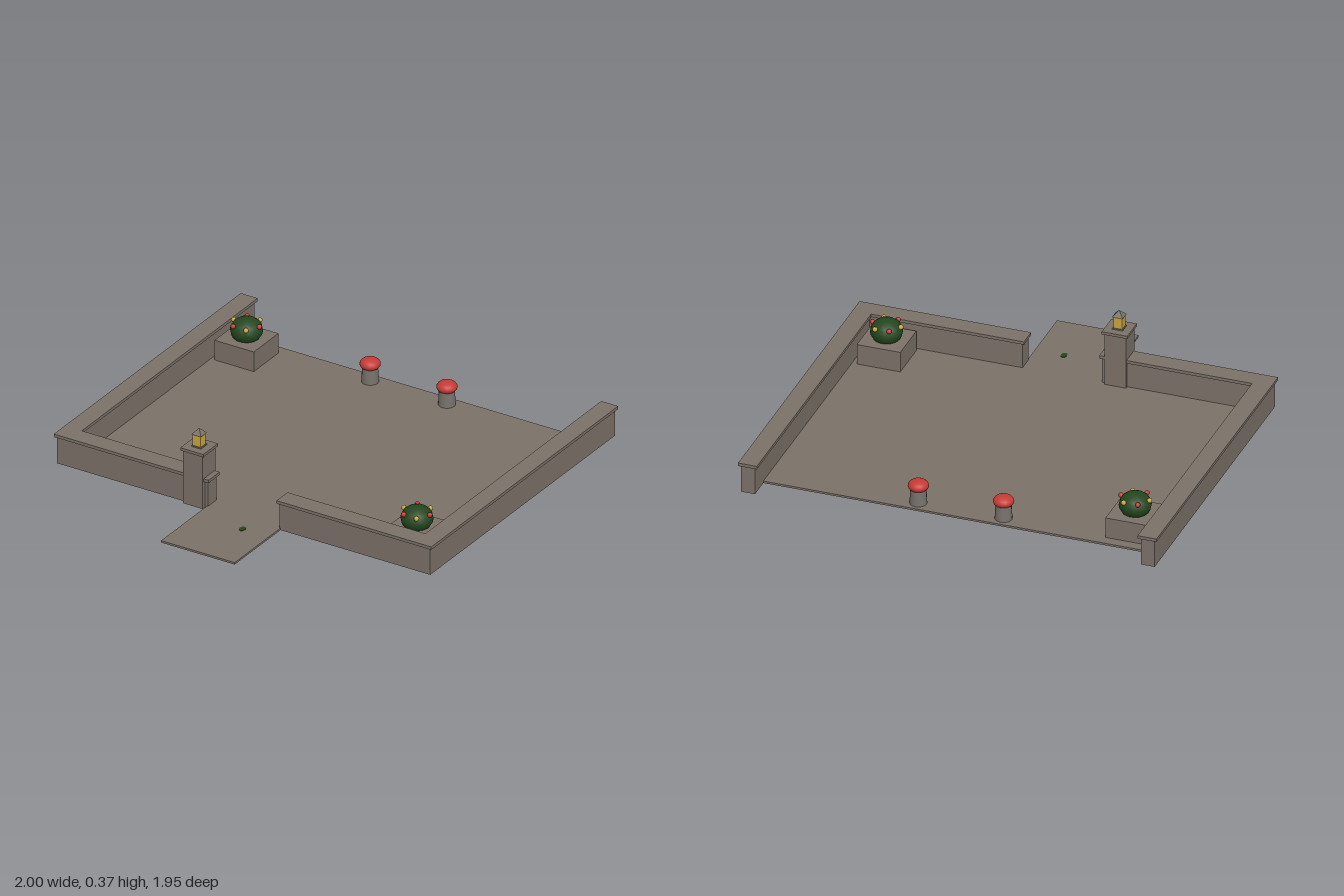
import * as THREE from 'three';

const mat = (name, color) => {
  const m = new THREE.MeshStandardMaterial({ color });
  m.name = name;
  return m;
};

export function createModel() {
  const stone = mat('warm stone', 0x7b7168);
  const grey = mat('grey stone', 0x77726c);
  const leaf = mat('leaf green', 0x24461f);
  const red = mat('red', 0xc63a35);
  const gold = mat('lantern gold', 0xc9a53f);

  const model = new THREE.Group();
  model.name = 'walledCourtyard';

  const add = (name, geo, material, x, y, z, parent = model) => {
    const mesh = new THREE.Mesh(geo, material);
    mesh.name = name;
    mesh.position.set(x, y, z);
    parent.add(mesh);
    return mesh;
  };
  // Box standing on height y
  const block = (name, w, h, d, x, y, z, material = stone) =>
    add(name, new THREE.BoxGeometry(w, h, d), material, x, y + h / 2, z);

  // Ground slab and entrance path
  block('floor', 1.97, 0.01, 1.445, 0, 0, -0.1375);
  block('path', 0.39, 0.01, 0.385, 0, 0, 0.7775);

  // L-shaped wall: one side plus half of the front, extruded upwards
  const wall = (name, side, outer, inner, end, back, front, frontIn, y, h) => {
    const points = [[outer, back], [outer, front], [end, front], [end, frontIn], [inner, frontIn], [inner, back]];
    const shape = new THREE.Shape(points.map(([x, z]) => new THREE.Vector2(side * x, z)));
    const geo = new THREE.ExtrudeGeometry(shape, { depth: h, bevelEnabled: false });
    geo.rotateX(Math.PI / 2);
    add(name, geo, stone, 0, y + h, 0);
  };
  for (const side of [-1, 1]) {
    const label = side > 0 ? 'left' : 'right';
    wall(label + 'Wall', side, 0.988, 0.922, 0.19, -0.968, 0.585, 0.512, 0, 0.135);
    wall(label + 'WallCoping', side, 1, 0.91, 0.18, -0.977, 0.595, 0.502, 0.135, 0.015);
  }

  // Gate pillar with lantern
  const px = -0.258, pz = 0.55;
  block('gatePillar', 0.104, 0.27, 0.106, px, 0, pz);
  block('pillarCap', 0.122, 0.014, 0.124, px, 0.27, pz);
  block('lanternBase', 0.05, 0.006, 0.05, px, 0.284, pz, grey);
  block('lanternGlass', 0.042, 0.056, 0.042, px, 0.29, pz, gold);
  const roof = new THREE.ConeGeometry(0.036, 0.028, 4).toNonIndexed();
  roof.rotateY(Math.PI / 4);
  roof.computeVertexNormals();
  add('lanternRoof', roof, grey, px, 0.36, pz);

  // Planters, each with a round bush ringed by flowers
  const flowerGeo = new THREE.SphereGeometry(0.012, 10, 8);
  for (const [x, z] of [[-0.798, -0.705], [0.795, 0.39]]) {
    block('planter', 0.208, 0.1, 0.208, x, 0.01, z);
    const bush = new THREE.Group();
    bush.name = 'floweringBush';
    bush.position.set(x, 0.147, z);
    model.add(bush);
    add('foliage', new THREE.SphereGeometry(0.075, 14, 10), leaf, 0, 0, 0, bush).scale.y = 0.8;
    for (let i = 0; i < 6; i++) {
      const a = i * Math.PI / 3;
      add('flower', flowerGeo, i % 2 ? gold : red,
        Math.cos(a) * 0.068, i % 2 ? 0.031 : 0.033, Math.sin(a) * 0.068, bush);
    }
  }

  // Red-topped round posts along the back edge
  for (const x of [-0.205, 0.202]) {
    add('postStem', new THREE.CylinderGeometry(0.036, 0.04, 0.085, 16), grey, x, 0.0525, -0.803);
    add('postCap', new THREE.SphereGeometry(0.048, 18, 12), red, x, 0.1, -0.803).scale.y = 0.6;
  }

  // Small fallen leaf on the path
  const leafGeo = new THREE.CylinderGeometry(0.015, 0.015, 0.002, 8);
  add('fallenLeaf', leafGeo, leaf, 0.055, 0.011, 0.682).scale.z = 1.4;

  return model;
}
